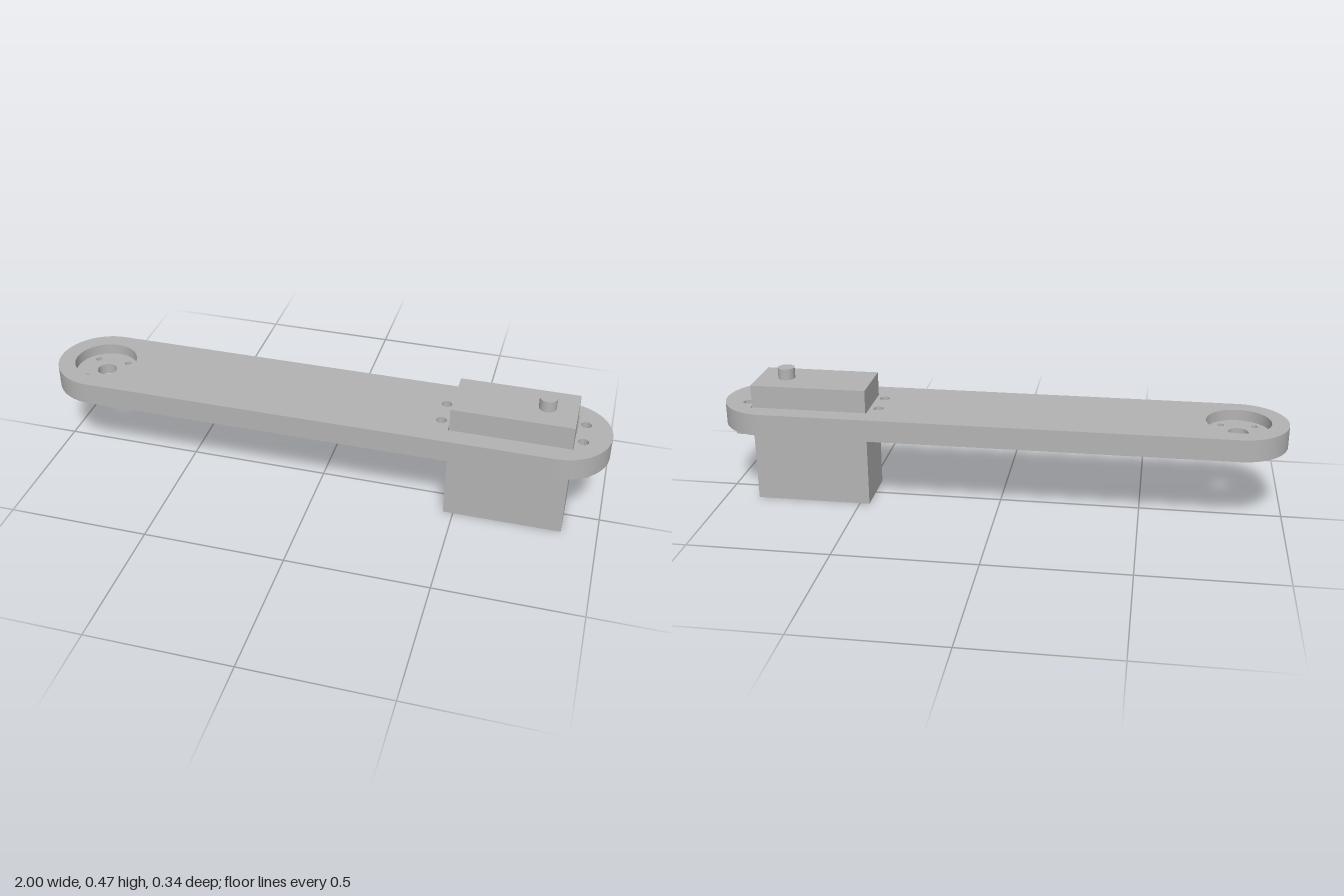
import * as THREE from 'three';
import { toCreasedNormals } from 'three/addons/utils/BufferGeometryUtils.js';

const R = 0.172;               // half width of the arm
const END = 1 - R;             // x of the rounded end centres
const BOTTOM = 0.273, TOP = 0.352;

function circle(x, y, r, Type = THREE.Path) {
  const p = new Type();
  p.absarc(x, y, r, 0, Math.PI * 2, false);
  return p;
}

function rect(x0, x1, halfZ, Type = THREE.Path) {
  const p = new Type();
  p.moveTo(x0, -halfZ);
  p.lineTo(x1, -halfZ);
  p.lineTo(x1, halfZ);
  p.lineTo(x0, halfZ);
  p.closePath();
  return p;
}

// Extrudes a plan outline upward from y0 to y1
function slab(name, shape, holes, y0, y1, material) {
  shape.holes.push(...holes);
  const geo = new THREE.ExtrudeGeometry(shape, { depth: y1 - y0, bevelEnabled: false, curveSegments: 32 });
  geo.rotateX(-Math.PI / 2);
  geo.translate(0, y0, 0);
  const mesh = new THREE.Mesh(toCreasedNormals(geo, Math.PI / 6), material);
  mesh.name = name;
  return mesh;
}

export function createModel() {
  const grey = new THREE.MeshStandardMaterial({ color: 0xb3b3b3 });
  grey.name = 'grey';
  const group = new THREE.Group();
  group.name = 'servoArm';

  // Screw positions beside the servo and around the horn hub
  const screws = () => [0.43, 0.907].flatMap(x => [-0.051, 0.051].map(z => circle(x, z, 0.018)));
  const hornScrews = () => [-1, 1].flatMap(a => [-1, 1].map(b => circle(-END + a * 0.058, b * 0.058, 0.012)));
  const hub = () => circle(-END, 0, 0.035);
  const disc = () => circle(-END, 0, 0.112, THREE.Shape);

  // Long arm with rounded ends, horn recess, servo cutout and screw holes
  const outline = new THREE.Shape();
  outline.absarc(END, 0, R, -Math.PI / 2, Math.PI / 2, false);
  outline.absarc(-END, 0, R, Math.PI / 2, Math.PI * 1.5, false);
  outline.closePath();
  group.add(slab('arm', outline,
    [circle(-END, 0, 0.112), rect(0.461, 0.882, 0.104), ...screws()], BOTTOM, TOP, grey));

  // Recess floor: solid base, then a layer with blind screw holes
  group.add(slab('recessBase', disc(), [hub()], BOTTOM, 0.285, grey));
  group.add(slab('recessFloor', disc(), [hub(), ...hornScrews()], 0.285, 0.313, grey));

  // Servo body
  const body = new THREE.Mesh(new THREE.BoxGeometry(0.412, 0.433, 0.202), grey);
  body.name = 'servoBody';
  body.position.set(0.671, 0.2165, 0);
  group.add(body);

  // Mounting flange under the arm, left open where the body passes through
  group.add(slab('mountingFlange', rect(0.4, 0.942, 0.101, THREE.Shape), screws(), 0.247, BOTTOM, grey));

  // Output shaft
  const shaft = new THREE.Mesh(new THREE.CylinderGeometry(0.03, 0.03, 0.04, 40), grey);
  shaft.name = 'outputShaft';
  shaft.position.set(0.775, 0.453, 0);
  group.add(shaft);

  return group;
}
